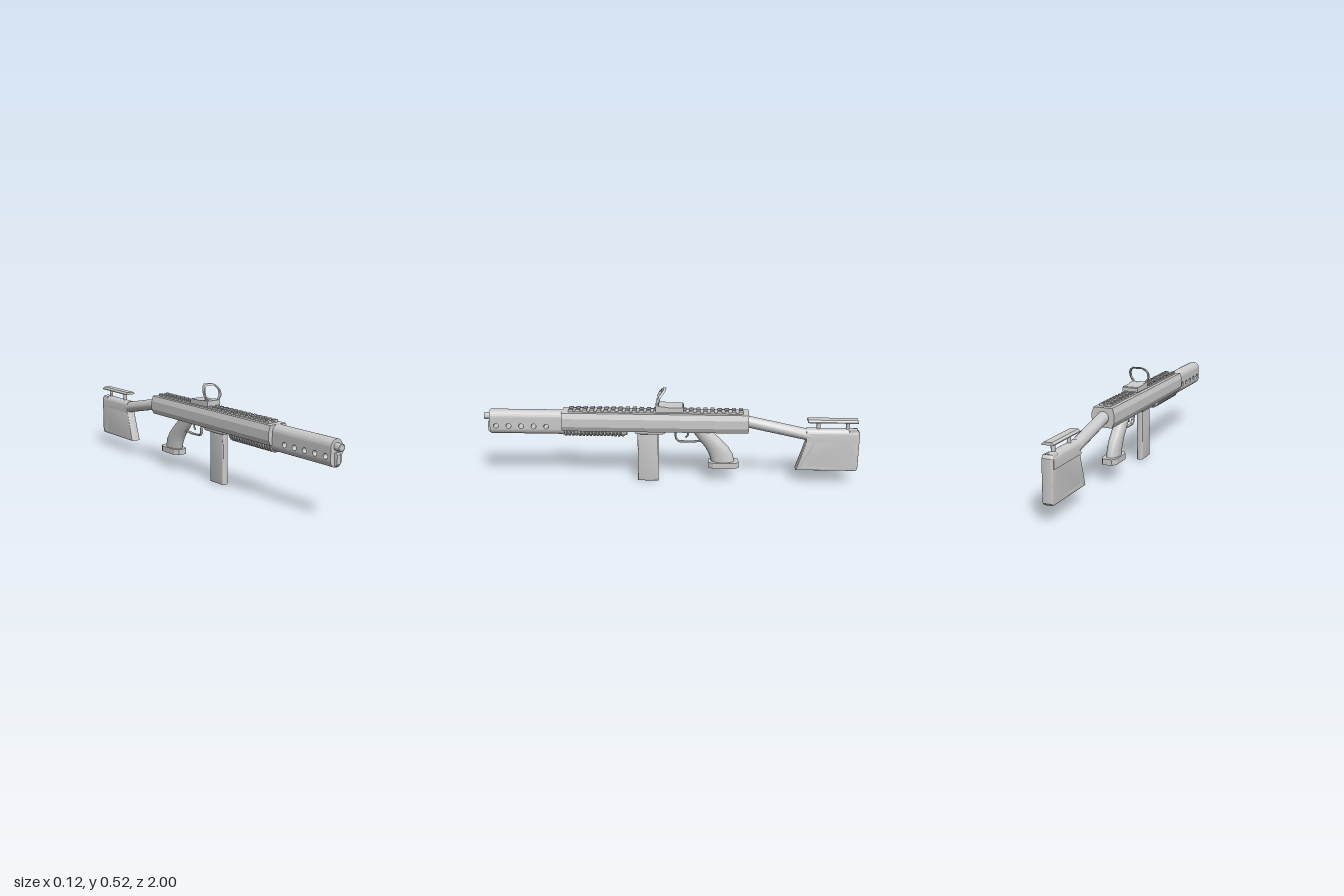
import * as THREE from 'three';
import { toCreasedNormals } from 'three/addons/utils/BufferGeometryUtils.js';

const material = new THREE.MeshStandardMaterial({ color: 0xcccccc });
const V = (x, y, z) => new THREE.Vector3(x, y, z);
const polygon = (pts) => new THREE.Shape(pts.map(([x, y]) => new THREE.Vector2(x, y)));
const mirrored = (pts) => [...pts, ...pts.slice().reverse().map(([x, y]) => [-x, y])];

export function createModel() {
  const model = new THREE.Group();

  function add(name, geometry, crease = 0.55) {
    const mesh = new THREE.Mesh(toCreasedNormals(geometry, crease), material);
    mesh.name = name;
    model.add(mesh);
    return mesh;
  }
  function box(name, x0, x1, y0, y1, z0, z1) {
    const g = new THREE.BoxGeometry(x1 - x0, y1 - y0, z1 - z0);
    return add(name, g.translate((x0 + x1) / 2, (y0 + y1) / 2, (z0 + z1) / 2));
  }
  // Extrude an (x, y) outline from z0 to z1
  function along(shape, z0, z1) {
    return new THREE.ExtrudeGeometry(shape, { depth: z1 - z0, bevelEnabled: false, curveSegments: 16 }).translate(0, 0, z0);
  }
  // Extrude a (z, y) outline across the width; the bevel stays inside the outline
  function across(shape, half, bevel = 0) {
    const g = new THREE.ExtrudeGeometry(shape, {
      depth: 2 * (half - bevel), bevelEnabled: bevel > 0, bevelSize: bevel, bevelOffset: -bevel,
      bevelThickness: bevel, bevelSegments: 3, curveSegments: 16,
    });
    return g.translate(0, 0, bevel - half).rotateY(-Math.PI / 2);
  }
  // Cylinder between two points
  function rod(name, a, b, radius, sides = 24) {
    const d = b.clone().sub(a);
    const g = new THREE.CylinderGeometry(radius, radius, d.length(), sides);
    g.applyQuaternion(new THREE.Quaternion().setFromUnitVectors(V(0, 1, 0), d.normalize()));
    const c = a.clone().add(b).multiplyScalar(0.5);
    return add(name, g.translate(c.x, c.y, c.z));
  }
  // Loft of elliptical sections [y, z, halfWidth, halfDepth], listed from top to bottom
  function loft(sections, sides = 24) {
    const pos = [], index = [];
    for (const [y, z, w, d] of sections)
      for (let i = 0; i < sides; i++) {
        const a = (i / sides) * Math.PI * 2;
        pos.push(w * Math.sin(a), y, z + d * Math.cos(a));
      }
    for (let r = 0; r < sections.length - 1; r++)
      for (let i = 0; i < sides; i++) {
        const a = r * sides + i, b = r * sides + (i + 1) % sides;
        index.push(a, a + sides, b, b, a + sides, b + sides);
      }
    const g = new THREE.BufferGeometry();
    g.setAttribute('position', new THREE.Float32BufferAttribute(pos, 3));
    g.setIndex(index);
    return g;
  }

  // Receiver with chamfered sides
  add('receiver', along(polygon(mirrored([[0.048, 0.295], [0.06, 0.322], [0.06, 0.367], [0.05, 0.396]])), -0.41, 0.58), 0.2);

  // Barrel shroud: pierced middle, rounded top and bottom
  const sides = polygon([[0.58, 0.3], [0.968, 0.3], [0.968, 0.36], [0.58, 0.36]]);
  for (let i = 0; i < 5; i++) {
    const hole = new THREE.Path();
    hole.absarc(0.665 + i * 0.0675, 0.3145, 0.0135, 0, Math.PI * 2, true);
    sides.holes.push(hole);
  }
  add('barrelShroud', across(sides, 0.037));
  for (const [name, y, start] of [['shroudTop', 0.36, 0], ['shroudBottom', 0.3, Math.PI]]) {
    const half = new THREE.Shape();
    half.absarc(0, y, 0.037, start, start + Math.PI, false);
    add(name, along(half, 0.58, 0.968));
  }
  rod('muzzle', V(0, 0.36, 0.9), V(0, 0.36, 1), 0.019);
  add('muzzleBore', new THREE.TorusGeometry(0.015, 0.003, 8, 24).translate(0, 0.36, 0.998));
  add('frontLug', across(polygon([[0.95, 0.268], [0.975, 0.268], [0.984, 0.28], [0.984, 0.325], [0.975, 0.333], [0.95, 0.333]]), 0.012, 0.002));

  // Ribbed fore grip under the receiver
  const ribs = [[0, 0.235], [0.026, 0.235], [0.033, 0.25]];
  for (let i = 0; i < 17; i++) {
    const z = 0.255 + i * 0.019;
    ribs.push([0.038, z], [0.038, z + 0.009], [0.032, z + 0.012], [0.032, z + 0.016]);
  }
  ribs.push([0.032, 0.58], [0, 0.58]);
  const ribGeo = new THREE.LatheGeometry(ribs.map(([r, z]) => new THREE.Vector2(r, z)), 24);
  add('foreGrip', ribGeo.rotateX(Math.PI / 2).translate(0, 0.291, 0));

  // Accessory rail with two rows of teeth
  box('railBase', -0.03, 0.03, 0.39, 0.402, -0.38, 0.545);
  for (let i = 0; i < 25; i++) {
    const z = -0.38 + i * 0.0376;
    for (const s of [-1, 1]) box('railTooth', s * 0.02 - 0.01, s * 0.02 + 0.01, 0.401, 0.41, z, z + 0.022);
  }

  // Reflex sight: base, then an octagonal window frame curling backwards
  add('sightBase', across(polygon([[-0.065, 0.405], [0.08, 0.405], [0.08, 0.437], [0.035, 0.437], [0.025, 0.432], [-0.06, 0.432], [-0.065, 0.428]]), 0.042));
  const frame = polygon(mirrored([[0.041, 0.43], [0.041, 0.438], [0.055, 0.462], [0.055, 0.49], [0.042, 0.511], [0.025, 0.521]]));
  frame.holes.push(new THREE.Path(mirrored([[0.032, 0.437], [0.047, 0.463], [0.047, 0.488], [0.036, 0.505], [0.025, 0.512]]).map(([x, y]) => new THREE.Vector2(x, y))));
  const frameGeo = along(frame, 0.066, 0.08);
  const fp = frameGeo.attributes.position;
  for (let i = 0; i < fp.count; i++) {
    const t = Math.max(0, (fp.getY(i) - 0.45) / 0.07);
    fp.setZ(i, fp.getZ(i) - 0.038 * t * t);
  }
  add('sightFrame', frameGeo, 0.3);

  // Magazine and its well
  add('magazineWell', across(polygon([[0.2, 0.298], [0.19, 0.275], [0.045, 0.275], [0.01, 0.298]]), 0.03, 0.003));
  add('magazine', across(polygon([[0.07, 0], [0.18, 0], [0.18, 0.285], [0.07, 0.285]]), 0.017, 0.006));

  // Trigger and guard
  const guard = new THREE.CurvePath();
  const pts = [V(0, 0.3, -0.022), V(0, 0.245, -0.024), V(0, 0.228, -0.04), V(0, 0.226, -0.1), V(0, 0.232, -0.165)];
  for (let i = 0; i < pts.length - 1; i++) guard.add(new THREE.LineCurve3(pts[i], pts[i + 1]));
  add('triggerGuard', new THREE.TubeGeometry(guard, 40, 0.005, 8).scale(2, 1, 1));
  const triggerPath = new THREE.CatmullRomCurve3([V(0, 0.3, -0.075), V(0, 0.27, -0.09), V(0, 0.25, -0.078)]);
  add('trigger', new THREE.TubeGeometry(triggerPath, 12, 0.005, 8));

  // Curved pistol grip on a flared foot
  add('pistolGrip', loft([
    [0.3, -0.158, 0.033, 0.05], [0.275, -0.176, 0.033, 0.054], [0.24, -0.208, 0.033, 0.06],
    [0.2, -0.243, 0.033, 0.063], [0.16, -0.266, 0.033, 0.064], [0.105, -0.28, 0.033, 0.062],
  ]), 0.9);
  const foot = polygon([[-0.025, 0.2], [0.025, 0.2], [0.041, 0.225], [0.041, 0.335], [0.025, 0.362], [-0.025, 0.362], [-0.041, 0.335], [-0.041, 0.225]]);
  const footGeo = new THREE.ExtrudeGeometry(foot, { depth: 0.031, bevelEnabled: false });
  // Outline y becomes -z, depth becomes height
  add('gripFoot', footGeo.rotateX(-Math.PI / 2).translate(0, 0.088, 0), 0.2);

  // Stock: sloping tube, rounded body and open frame
  rod('stockTube', V(0, 0.348, -0.395), V(0, 0.273, -0.745), 0.031);
  const body = new THREE.Shape();
  body.moveTo(-0.03, 0.245);
  body.lineTo(0.03, 0.245);
  body.lineTo(0.03, 0.284);
  body.absarc(0, 0.284, 0.03, 0, Math.PI, false);
  add('stockBody', along(body, -0.985, -0.717));
  const stock = polygon([[-0.668, 0.08], [-0.72, 0.25], [-0.94, 0.25], [-0.94, 0.31], [-0.985, 0.31], [-0.998, 0.295], [-0.998, 0.09], [-0.99, 0.08]]);
  stock.holes.push(new THREE.Path([[-0.73, 0.108], [-0.937, 0.108], [-0.937, 0.242], [-0.77, 0.242]].map(([z, y]) => new THREE.Vector2(z, y))));
  add('stockFrame', across(stock, 0.027, 0.006));

  // Raised cheek rest on two posts
  add('cheekRest', along(polygon(mirrored([[0.03, 0.352], [0.03, 0.357], [0.02, 0.366]])), -0.985, -0.722), 0.2);
  for (const z of [-0.78, -0.935]) rod('cheekRestPost', V(0, 0.3, z), V(0, 0.355, z), 0.01, 16);

  return model;
}
